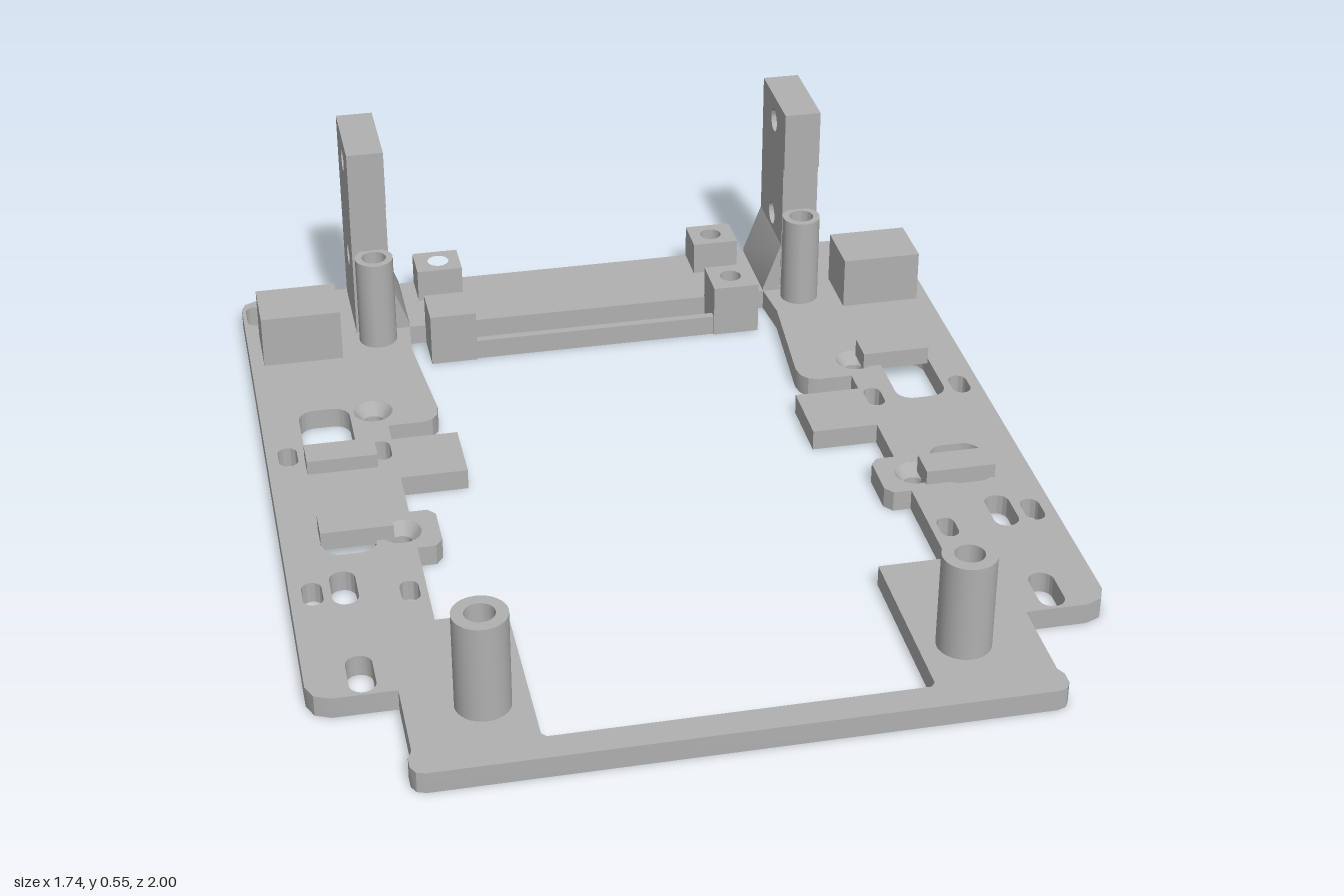
import * as THREE from 'three';
import { toCreasedNormals } from 'three/addons/utils/BufferGeometryUtils.js';

const T = 0.05; // plate thickness

export function createModel() {
  const root = new THREE.Group();
  const grey = new THREE.MeshStandardMaterial({ color: 0xb0b0b0 });
  grey.name = 'grey';

  const add = (name, geo, x = 0, y = 0, z = 0) => {
    const mesh = new THREE.Mesh(geo, grey);
    mesh.name = name;
    mesh.position.set(x, y, z);
    root.add(mesh);
    return mesh;
  };
  const poly = (pts) => new THREE.Shape(pts.map(([x, y]) => new THREE.Vector2(x, y)));
  const extrude = (shape, depth) => toCreasedNormals(
    new THREE.ExtrudeGeometry(shape, { depth, bevelEnabled: false, curveSegments: 10 }), 0.6);
  // Shape drawn in x and z, laid flat between two heights
  const slab = (shape, y0, y1) => extrude(shape, y1 - y0).rotateX(Math.PI / 2).translate(0, y1, 0);
  const lathe = (pts) => toCreasedNormals(
    new THREE.LatheGeometry(pts.map(([r, y]) => new THREE.Vector2(r, y)), 32), 0.6);
  const circle = (x, z, r) => new THREE.Path().absarc(x, z, r, 0, Math.PI * 2, true);
  const slot = (x, z0, z1, w, r = w / 2) => {
    const p = new THREE.Path(), a = x - w / 2, b = x + w / 2;
    p.absarc(b - r, z1 - r, r, 0, Math.PI / 2, false);
    p.absarc(a + r, z1 - r, r, Math.PI / 2, Math.PI, false);
    p.absarc(a + r, z0 + r, r, Math.PI, Math.PI * 1.5, false);
    p.absarc(b - r, z0 + r, r, Math.PI * 1.5, Math.PI * 2, false);
    p.closePath();
    return p;
  };
  const mirror = (half) => [...half, ...half.map(([x, z]) => [-x, z]).reverse()];

  // Base plate: outer edge and the large opening, mirrored
  const plate = poly(mirror([
    [0.455, -1], [0.462, -0.985], [0.475, -0.985], [0.485, -1], [0.78, -1], [0.80, -0.985],
    [0.835, -0.98], [0.86, -0.967], [0.87, -0.94], [0.87, 0.67], [0.855, 0.705], [0.82, 0.72],
    [0.68, 0.72], [0.68, 0.925], [0.69, 0.945], [0.69, 0.975], [0.68, 0.993], [0.66, 1],
  ]));
  plate.holes.push(poly(mirror([
    [0.46, -0.77], [0.47, -0.66], [0.445, -0.37], [0.45, -0.34], [0.465, -0.32], [0.49, -0.312],
    [0.572, -0.312], [0.572, -0.25], [0.415, -0.25], [0.415, -0.08], [0.572, -0.08], [0.572, 0.065],
    [0.53, 0.065], [0.513, 0.085], [0.513, 0.19], [0.53, 0.212], [0.572, 0.212], [0.572, 0.49],
    [0.415, 0.49], [0.415, 0.92], [0.405, 0.932],
  ])));

  const slots = [ // x, z start, z end, width
    [0.6, -0.245, -0.165, 0.042], [0.61, 0.335, 0.41, 0.042], [0.82, -0.26, -0.18, 0.045],
    [0.82, 0.3, 0.385, 0.045], [0.75, 0.27, 0.395, 0.058], [0.75, 0.585, 0.712, 0.058],
    [0.838, -0.95, -0.855, 0.045],
  ];
  for (const s of [-1, 1]) {
    for (const [x, a, b, w] of slots) plate.holes.push(slot(s * x, a, b, w));
    plate.holes.push(slot(s * 0.718, -0.415, -0.18, 0.122, 0.04));
    plate.holes.push(slot(s * 0.718, 0.04, 0.205, 0.122, 0.04));
    plate.holes.push(circle(s * 0.365, -0.95, 0.027));
    for (const z of [-0.385, 0.14]) plate.holes.push(circle(s * 0.6, z, 0.047));
  }
  add('basePlate', slab(plate, 0, T));

  // Thin slat in front of the rear bar
  add('rearSlat', new THREE.BoxGeometry(0.78, T, 0.02), 0, T / 2, -0.675);

  const post = (r, bore) => lathe([[r, 0.04], [r, 0.28], [bore, 0.28], [bore, 0.13], [0, 0.13]]);
  const frontPost = post(0.06, 0.033);
  const rearPost = post(0.047, 0.03);
  const countersink = lathe([[0.047, T], [0.025, 0.02], [0.025, 0], [0.047, 0]]);

  // Upright bracket profile in z and y with two teardrop holes
  const upright = poly([[-0.99, 0.04], [-0.768, 0.04], [-0.768, 0.4], [-0.76, 0.4], [-0.76, 0.55], [-0.99, 0.55]]);
  for (const y of [0.22, 0.485]) {
    const hole = new THREE.Path();
    hole.absarc(-0.875, y, 0.029, Math.PI * 0.8, Math.PI * 2.2, false);
    hole.lineTo(-0.875, y + 0.036);
    hole.closePath();
    upright.holes.push(hole);
  }
  const uprightGeo = extrude(upright, 0.09).rotateY(-Math.PI / 2).translate(0.045, 0, 0);

  for (const s of [-1, 1]) {
    const side = s > 0 ? 'left' : 'right';
    add(side + 'FrontPost', frontPost, s * 0.515, 0, 0.8);
    add(side + 'RearPost', rearPost, s * 0.545, 0, -0.73);
    for (const z of [-0.385, 0.14]) add(side + 'Countersink', countersink, s * 0.6, 0, z);

    add(side + 'Upright', uprightGeo, s * 0.55, 0, 0);
    const gusset = poly([[s * 0.515, 0.04], [s * 0.46, 0.04], [s * 0.46, 0.06], [s * 0.505, 0.18], [s * 0.515, 0.18]]);
    add(side + 'Gusset', extrude(gusset, 0.22), 0, 0, -0.99);

    add(side + 'RearBox', new THREE.BoxGeometry(0.195, 0.14, 0.148), s * 0.74, 0.11, -0.725);

    // Drilled mounting blocks on the rear bar
    for (const [z0, z1, y0, hz] of [[-1, -0.9, 0.045, -0.95], [-0.775, -0.66, 0, -0.72]]) {
      const block = poly([[s * 0.305, z0], [s * 0.42, z0], [s * 0.42, z1], [s * 0.305, z1]]);
      block.holes.push(circle(s * 0.36, hz, 0.027));
      add(side + 'MountingBlock', slab(block, y0, 0.133));
    }
  }

  // Small bridges over the slots
  for (const [x, z] of [[0.695, -0.385], [0.695, 0.158], [-0.7, -0.173], [-0.7, 0.127]])
    add('slotBridge', new THREE.BoxGeometry(0.165, 0.045, 0.075), x, 0.0625, z);

  return root;
}
